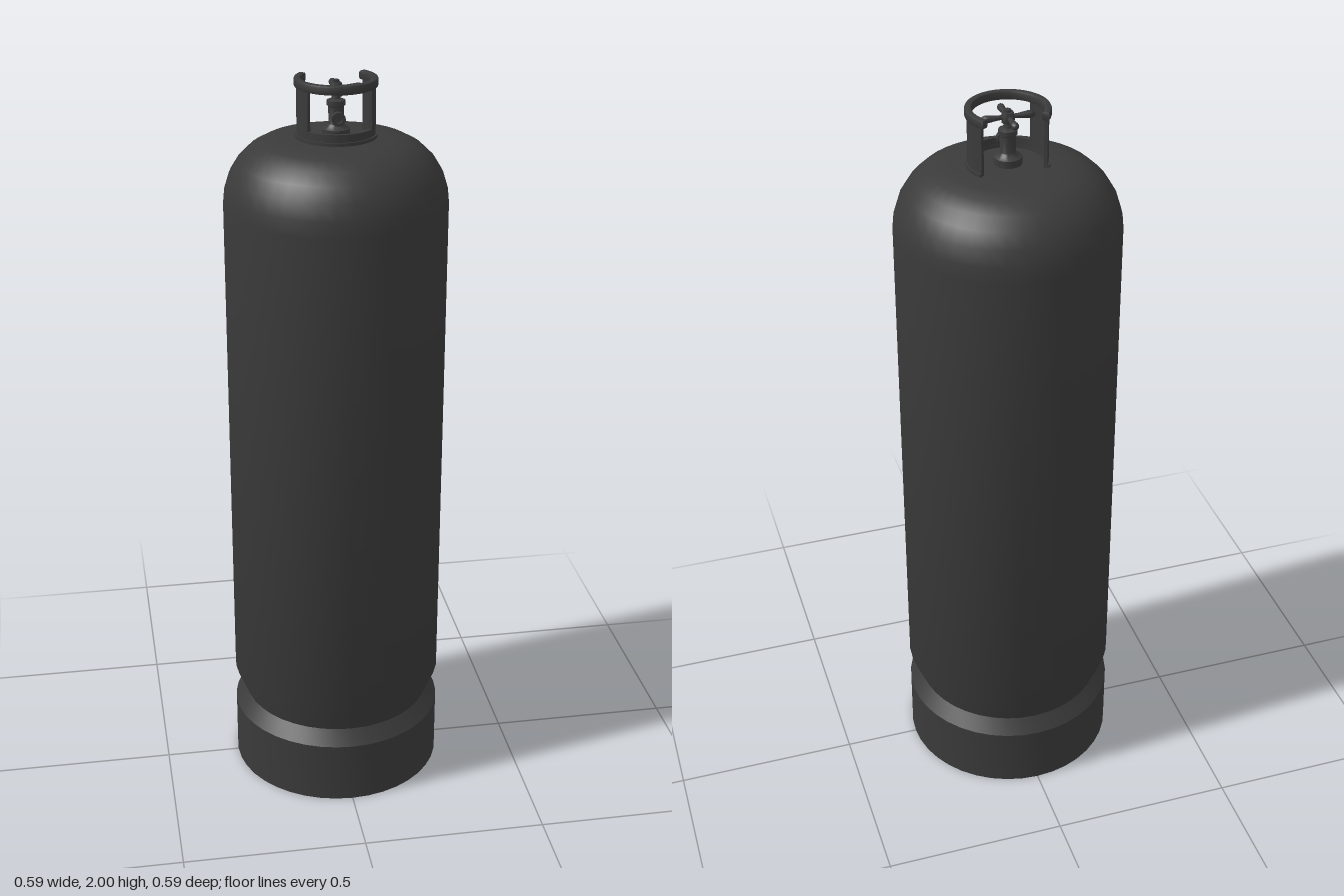
import * as THREE from 'three';
import { toCreasedNormals } from 'three/addons/utils/BufferGeometryUtils.js';

const material = new THREE.MeshStandardMaterial({ color: 0x3a3a3a });
const rad = THREE.MathUtils.degToRad;

function add(parent, name, geometry, x = 0, y = 0, z = 0) {
  const mesh = new THREE.Mesh(geometry, material);
  mesh.name = name;
  mesh.position.set(x, y, z);
  parent.add(mesh);
  return mesh;
}

// Revolved profile of [radius, height] pairs, listed with the outside going up
function lathe(points, segments = 40, crease = 0.6) {
  const profile = points.map(([r, y]) => new THREE.Vector2(r, y));
  return toCreasedNormals(new THREE.LatheGeometry(profile, segments), crease);
}

// Curved band from angle a to b (degrees from the front), standing height tall
function band(inner, outer, a, b, height, bevel = 0) {
  const from = rad(a - 90), to = rad(b - 90);
  const shape = new THREE.Shape();
  shape.absarc(0, 0, outer - bevel, from, to, false);
  shape.absarc(0, 0, inner + bevel, to, from, true);
  const geometry = new THREE.ExtrudeGeometry(shape, {
    depth: height - 2 * bevel, curveSegments: Math.ceil((b - a) / 9),
    bevelEnabled: bevel > 0, bevelSize: bevel, bevelThickness: bevel, bevelSegments: 2,
  });
  geometry.translate(0, 0, bevel);
  geometry.rotateX(-Math.PI / 2);
  return toCreasedNormals(geometry, 0.6);
}

export function createModel() {
  const model = new THREE.Group();
  model.name = 'gasCylinder';

  // Tank with rounded shoulder and convex underside
  add(model, 'tank', lathe([
    [0, 0.07], [0.12, 0.08], [0.2, 0.095], [0.24, 0.125], [0.258, 0.17], [0.262, 0.215],
    [0.293, 0.29], [0.293, 1.67], [0.289, 1.71], [0.276, 1.752], [0.254, 1.788],
    [0.225, 1.816], [0.19, 1.835], [0.15, 1.844], [0.1, 1.848], [0, 1.85],
  ]));

  // Hollow foot ring, tapering in to the tank
  add(model, 'footRing', lathe([
    [0.258, 0.212], [0.275, 0.165], [0.275, 0], [0.293, 0], [0.293, 0.175], [0.262, 0.215],
  ]));

  // Guard collar, open at the back, with a window in front
  const collar = new THREE.Group();
  collar.name = 'collar';
  model.add(collar);
  const end = 123, windowEdge = 54;
  add(collar, 'collarBase', band(0.091, 0.106, -end, end, 0.014), 0, 1.842, 0);
  add(collar, 'collarSill', band(0.092, 0.101, -end, end, 0.022), 0, 1.854, 0);
  for (const [name, a, b] of [['leftWall', windowEdge, end], ['rightWall', -end, -windowEdge]]) {
    add(collar, name, band(0.092, 0.101, a, b, 0.12), 0, 1.868, 0);
  }
  add(collar, 'collarRim', band(0.089, 0.107, -end - 3, end + 3, 0.024, 0.005), 0, 1.976, 0);

  // Valve body and stem
  const valve = new THREE.Group();
  valve.name = 'valve';
  model.add(valve);
  add(valve, 'valveBody', lathe([
    [0, 1.84], [0.036, 1.84], [0.036, 1.868], [0.024, 1.874], [0.02, 1.88], [0.02, 1.925],
    [0.024, 1.928], [0.024, 1.94], [0.012, 1.945], [0.009, 1.965], [0, 1.965],
  ], 20));
  const outlet = lathe([
    [0, 0], [0.014, 0], [0.014, 0.03], [0.018, 0.03], [0.018, 0.045], [0.01, 0.045], [0.01, 0.035], [0, 0.035],
  ], 16);
  outlet.rotateX(Math.PI / 2);
  add(valve, 'outlet', outlet, 0, 1.9, 0);

  // Four-spoke handle with rounded tips
  const handle = new THREE.Group();
  handle.name = 'handle';
  handle.position.y = 1.972;
  valve.add(handle);
  add(handle, 'hub', lathe([[0, -0.014], [0.016, -0.014], [0.018, 0], [0.014, 0.013], [0, 0.014]], 12));
  add(handle, 'hubNut', new THREE.CylinderGeometry(0.009, 0.009, 0.008, 6), 0, 0.016, 0);
  const spoke = lathe([
    [0.006, 0], [0.006, 0.025], [0.0095, 0.052], [0.0095, 0.061], [0.006, 0.068], [0, 0.071],
  ], 12, 1);
  spoke.rotateX(Math.PI / 2);
  for (let i = 0; i < 4; i++) add(handle, 'spoke', spoke).rotation.y = i * Math.PI / 2;

  return model;
}
